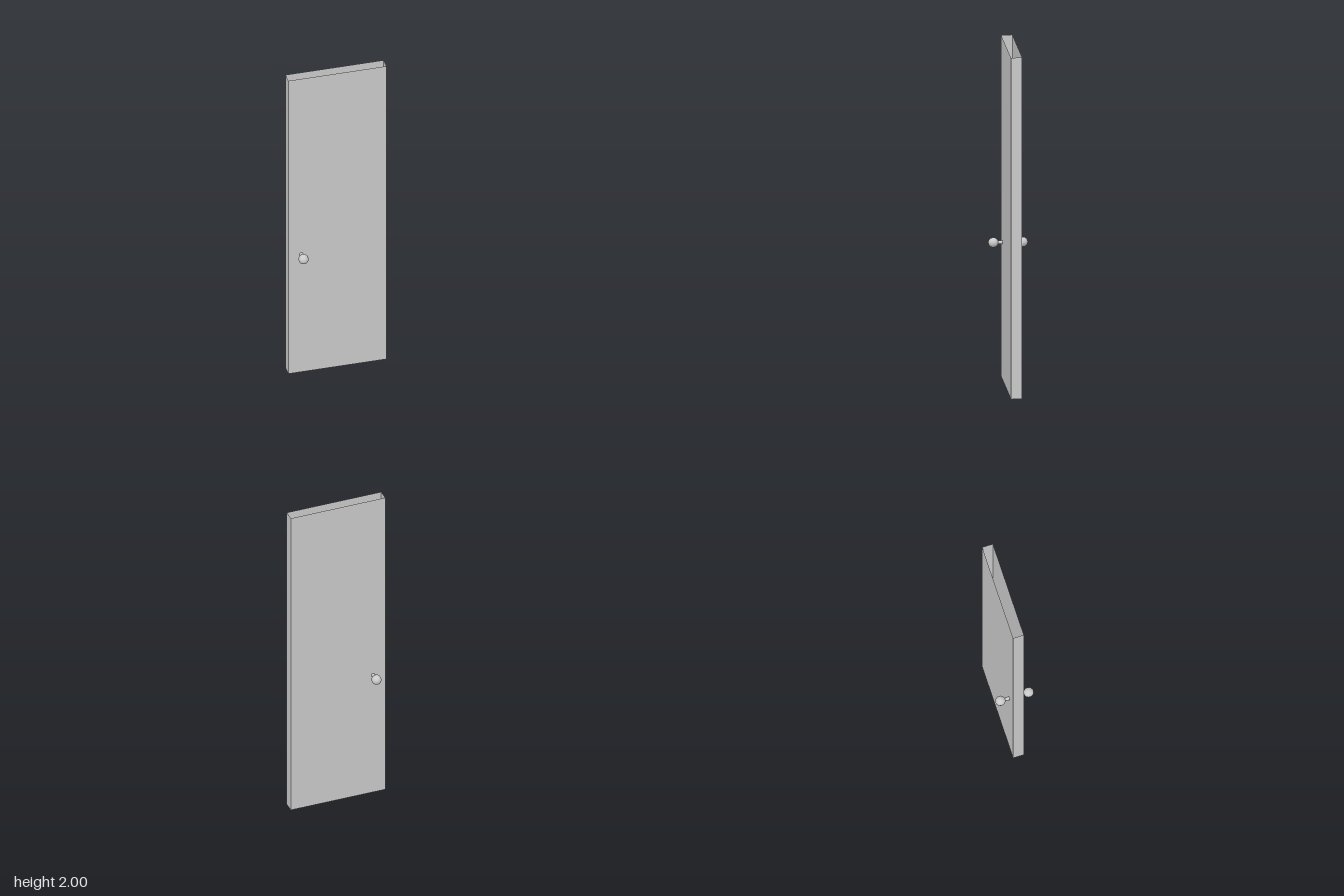
import * as THREE from 'three';

export function createModel() {
  const model = new THREE.Group();
  const W = 0.29, D = 0.032, H = 2;
  const material = new THREE.MeshStandardMaterial({ color: 0xcccccc, side: THREE.DoubleSide });

  // Hollow door slab: four walls, open at top and bottom
  const slab = new THREE.BoxGeometry(2 * W, H, 2 * D);
  const index = Array.from(slab.index.array);
  index.splice(12, 12); // drop the top and bottom faces
  slab.setIndex(index);
  const door = new THREE.Mesh(slab, material);
  door.name = 'doorPanel';
  door.position.y = H / 2;
  model.add(door);

  // Knob and its tapered stem, one on each face
  const stemLength = 0.026, knobRadius = 0.0295;
  for (const [side, name] of [[1, 'front'], [-1, 'back']]) {
    const knob = new THREE.Group();
    knob.name = name + 'Knob';

    const stem = new THREE.Mesh(
      new THREE.CylinderGeometry(0.009, 0.0115, stemLength, 10, 1, true), material);
    stem.name = name + 'KnobStem';
    stem.position.y = stemLength / 2;

    const ball = new THREE.Mesh(new THREE.SphereGeometry(knobRadius, 12, 8), material);
    ball.name = name + 'KnobBall';
    ball.position.y = 0.0525;

    knob.add(stem, ball);
    knob.position.set(-0.215, 0.803, side * D);
    knob.rotation.x = side * Math.PI / 2;
    model.add(knob);
  }
  return model;
}
